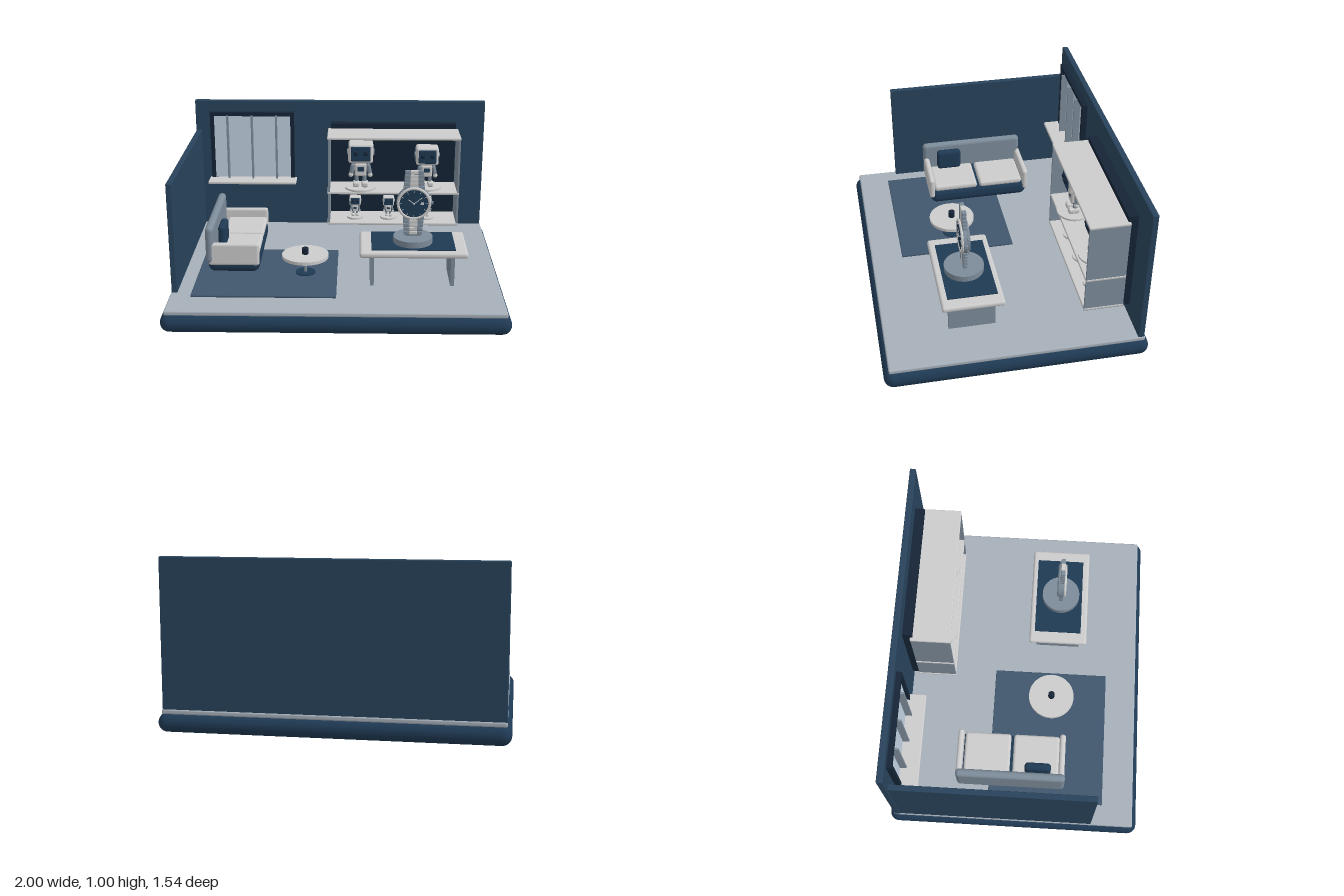
import * as THREE from 'three';
import { RoundedBoxGeometry } from 'three/addons/geometries/RoundedBoxGeometry.js';

const mat = (color) => new THREE.MeshStandardMaterial({ color });
const white = mat(0xcccccc), navy = mat(0x28435b), deep = mat(0x1f3a54), dark = mat(0x152436),
  floorGrey = mat(0xa6afb9), rugBlue = mat(0x40566d), steel = mat(0x7d8c9a), glass = mat(0xc0d0e0);

function add(parent, name, geometry, material, x = 0, y = 0, z = 0) {
  const mesh = new THREE.Mesh(geometry, material);
  mesh.name = name;
  mesh.position.set(x, y, z);
  parent.add(mesh);
  return mesh;
}

// Box given by its limits on each axis, with optional rounded edges
function box(parent, name, material, [x0, x1], [y0, y1], [z0, z1], r = 0) {
  const w = x1 - x0, h = y1 - y0, d = z1 - z0;
  const geo = r ? new RoundedBoxGeometry(w, h, d, 4, r) : new THREE.BoxGeometry(w, h, d);
  return add(parent, name, geo, material, (x0 + x1) / 2, (y0 + y1) / 2, (z0 + z1) / 2);
}

// Upright disc or post standing on y0
function disc(parent, name, material, r, y0, y1, x, z) {
  return add(parent, name, new THREE.CylinderGeometry(r, r, y1 - y0, 48), material, x, (y0 + y1) / 2, z);
}

function group(parent, name, x = 0, y = 0, z = 0) {
  const g = new THREE.Group();
  g.name = name;
  g.position.set(x, y, z);
  parent.add(g);
  return g;
}

// Toy robot of unit height standing on its origin
function robot(parent, x, y, z, height) {
  const g = group(parent, 'toyRobot', x, y, z);
  g.scale.setScalar(height);
  box(g, 'head', white, [-0.27, 0.27], [0.56, 1], [-0.2, 0.2], 0.06);
  box(g, 'visor', deep, [-0.215, 0.215], [0.61, 0.95], [0.15, 0.215], 0.03);
  box(g, 'body', white, [-0.13, 0.13], [0.24, 0.53], [-0.1, 0.1], 0.04);
  box(g, 'chestPanel', deep, [-0.07, 0.07], [0.36, 0.46], [0.08, 0.11], 0.01);
  disc(g, 'neck', steel, 0.07, 0.5, 0.58, 0, 0);
  for (const s of [-1, 1]) {
    add(g, 'eye', new THREE.SphereGeometry(0.05, 16, 12), dark, s * 0.11, 0.79, 0.205);
    add(g, 'ear', new THREE.CylinderGeometry(0.07, 0.07, 0.04, 24), steel, s * 0.28, 0.78, 0).rotation.z = Math.PI / 2;
    const arm = add(g, 'arm', new THREE.CapsuleGeometry(0.05, 0.16, 4, 12), steel, s * 0.185, 0.38, 0);
    arm.rotation.z = s * 0.2;
    add(g, 'hand', new THREE.SphereGeometry(0.055, 16, 12), white, s * 0.21, 0.26, 0.01);
    disc(g, 'leg', steel, 0.045, 0.08, 0.27, s * 0.085, 0);
    box(g, 'foot', white, [s * 0.095 - 0.07, s * 0.095 + 0.07], [0, 0.12], [-0.09, 0.14], 0.04);
  }
}

// One watch face, built looking along +z with radius 0.1
function watchFace(parent, name, subdials) {
  const g = group(parent, name);
  add(g, 'bezel', new THREE.TorusGeometry(0.093, 0.009, 12, 64), subdials ? steel : white, 0, 0, 0.018);
  add(g, 'dial', new THREE.CylinderGeometry(0.088, 0.088, 0.006, 48), deep, 0, 0, 0.019).rotation.x = Math.PI / 2;
  for (let i = 0; i < 12; i++) {
    const a = i * Math.PI / 6;
    const tick = add(g, 'hourMark', new THREE.BoxGeometry(0.003, 0.013, 0.002), white,
      Math.sin(a) * 0.076, Math.cos(a) * 0.076, 0.023);
    tick.rotation.z = -a;
  }
  for (const [a, length] of [[-0.9, 0.042], [0.9, 0.062]]) {
    const hand = add(g, 'hand', new THREE.BoxGeometry(0.004, length, 0.002), white,
      Math.sin(a) * length / 2, Math.cos(a) * length / 2, 0.025);
    hand.rotation.z = -a;
  }
  add(g, 'centrePin', new THREE.SphereGeometry(0.005, 12, 8), white, 0, 0, 0.025);
  if (!subdials) box(g, 'dateWindow', white, [0.04, 0.06], [-0.007, 0.007], [0.021, 0.024]);
  else for (const a of [0.5, 1.17, 1.83].map((k) => k * Math.PI)) {
    const x = Math.cos(a) * 0.042, y = -Math.sin(a) * 0.042;
    add(g, 'subdialRing', new THREE.TorusGeometry(0.022, 0.002, 8, 32), white, x, y, 0.023);
    add(g, 'subdialHand', new THREE.BoxGeometry(0.002, 0.017, 0.002), white, x, y + 0.007, 0.023);
  }
  return g;
}

export function createModel() {
  const model = new THREE.Group();
  model.name = 'showroom';

  // Base, floor and walls
  box(model, 'base', deep, [-1, 1], [0, 0.112], [-0.77, 0.77], 0.055);
  box(model, 'floor', floorGrey, [-0.975, 0.975], [0.105, 0.135], [-0.742, 0.742], 0.01);
  box(model, 'backWall', navy, [-0.975, 0.97], [0.13, 1.005], [-0.737, -0.7], 0.006);
  box(model, 'sideWall', navy, [-0.97, -0.936], [0.13, 0.805], [-0.7, 0.485], 0.004);
  box(model, 'rug', rugBlue, [-0.85, 0], [0.134, 0.147], [-0.165, 0.55], 0.004);

  // Window with frame bars, mullions and sill
  const win = group(model, 'window');
  box(win, 'glassPane', glass, [-0.855, -0.33], [0.475, 0.91], [-0.698, -0.685]);
  box(win, 'frameTop', dark, [-0.875, -0.31], [0.905, 0.93], [-0.702, -0.667]);
  for (const x of [-0.875, -0.335]) box(win, 'frameSide', dark, [x, x + 0.025], [0.465, 0.93], [-0.702, -0.667]);
  for (const x of [-0.757, -0.593, -0.43])
    box(win, 'mullion', steel, [x - 0.006, x + 0.006], [0.475, 0.91], [-0.686, -0.645]);
  box(win, 'sill', white, [-0.89, -0.295], [0.455, 0.475], [-0.69, -0.568], 0.007);

  // Display cabinet
  const cabinet = group(model, 'cabinet');
  box(cabinet, 'backPanel', dark, [-0.06, 0.775], [0.22, 0.862], [-0.7, -0.642]);
  for (const x of [-0.075, 0.777]) box(cabinet, 'sidePanel', steel, [x, x + 0.013], [0.225, 0.825], [-0.655, -0.42]);
  for (const y of [0.225, 0.44, 0.812])
    box(cabinet, 'shelf', white, [-0.08, 0.792], [y, y + 0.018], [-0.657, -0.418], 0.006);

  // Robots on round plinths
  for (const [x, z, h, y, r] of [[0.14, -0.515, 0.305, 0.458, 0.105], [0.58, -0.53, 0.275, 0.458, 0.1],
    [0.105, -0.525, 0.14, 0.243, 0.055], [0.33, -0.525, 0.14, 0.243, 0.055], [0.58, -0.525, 0.14, 0.243, 0.055]]) {
    disc(model, 'plinth', white, r, y, y + 0.012, x, z);
    robot(model, x, y + 0.012, z, h);
  }

  // Sofa
  const sofa = group(model, 'sofa');
  box(sofa, 'seatBase', deep, [-0.78, -0.468], [0.178, 0.29], [-0.355, 0.295], 0.045);
  box(sofa, 'backrest', steel, [-0.79, -0.74], [0.24, 0.472], [-0.356, 0.305], 0.024);
  for (const z of [-0.362, 0.266]) box(sofa, 'armrest', white, [-0.775, -0.467], [0.228, 0.37], [z, z + 0.036], 0.017);
  for (const z of [-0.32, -0.018]) box(sofa, 'cushion', white, [-0.725, -0.47], [0.275, 0.318], [z, z + 0.285], 0.018);
  box(sofa, 'pillow', deep, [-0.722, -0.674], [0.312, 0.45], [0.058, 0.218], 0.022);

  // Round side table and cup
  const side = group(model, 'sideTable', -0.195, 0, 0.2);
  disc(side, 'top', white, 0.142, 0.25, 0.27, 0, 0);
  disc(side, 'stem', steel, 0.009, 0.147, 0.25, 0, 0);
  disc(side, 'foot', deep, 0.06, 0.146, 0.154, 0, 0);
  disc(side, 'cup', dark, 0.02, 0.27, 0.308, 0, 0);

  // Display table
  const table = group(model, 'displayTable');
  box(table, 'top', white, [0.135, 0.775], [0.325, 0.362], [0.04, 0.405], 0.016);
  box(table, 'mat', deep, [0.205, 0.703], [0.355, 0.368], [0.072, 0.365]);
  for (const x of [0.198, 0.677]) box(table, 'legPanel', steel, [x, x + 0.023], [0.134, 0.33], [0.085, 0.362]);

  // Two-faced watch on a round stand
  const watch = group(model, 'watch', 0.455, 0.615, 0.228);
  disc(watch, 'stand', steel, 0.118, -0.248, -0.21, 0, 0);
  add(watch, 'case', new THREE.CylinderGeometry(0.1, 0.1, 0.04, 64), steel).rotation.x = Math.PI / 2;
  watchFace(watch, 'frontFace', false);
  watchFace(watch, 'backFace', true).rotation.y = Math.PI;
  add(watch, 'crown', new THREE.CylinderGeometry(0.011, 0.011, 0.02, 20), steel, 0.107, 0, 0).rotation.z = Math.PI / 2;
  for (const y of [-0.045, 0.045])
    add(watch, 'pusher', new THREE.CylinderGeometry(0.006, 0.006, 0.02, 16), steel, 0.097, y, -0.012).rotation.z = Math.PI / 2;
  for (const s of [-1, 1]) {
    for (let i = 0; i < 5; i++) {
      const y = s * (0.093 + i * 0.024), w = 0.063 - i * 0.002;
      for (const [x0, x1, m] of [[-w, -w / 2.4, steel], [-w / 2.4, w / 2.4, white], [w / 2.4, w, steel]])
        box(watch, 'bandLink', m, [x0, x1], [y - 0.011, y + 0.011], [-0.013, 0.013], 0.004);
    }
    box(watch, 'bandCore', steel, [-0.045, 0.045], s > 0 ? [0.08, 0.19] : [-0.212, -0.08], [-0.008, 0.008]);
  }
  return model;
}
